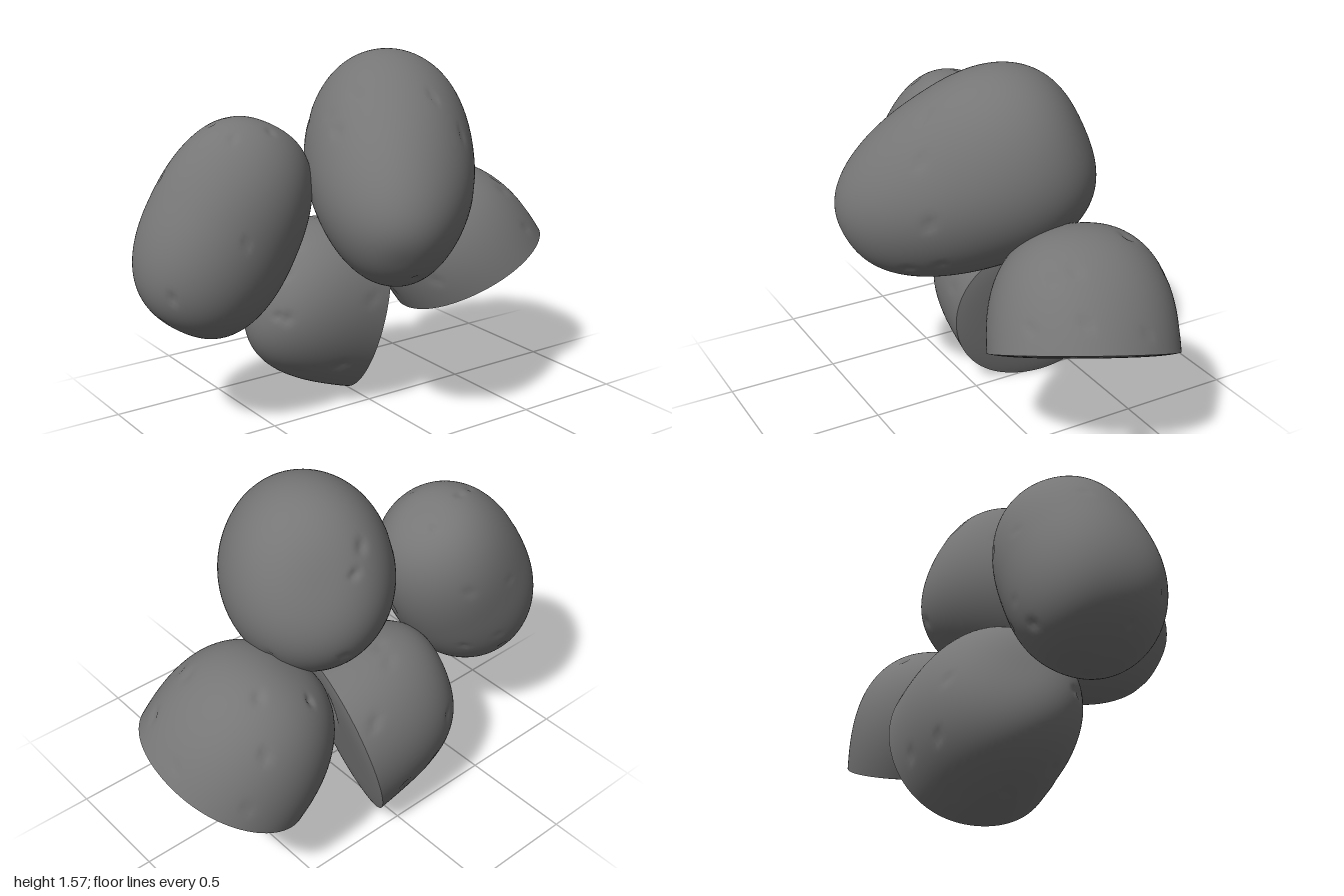
import * as THREE from 'three';
import { mergeVertices } from 'three/addons/utils/BufferGeometryUtils.js';

const skin = new THREE.MeshStandardMaterial({ color: 0x767676 });
skin.name = 'grey skin';

// Small seeded random generator
function seeded(seed) {
  let s = seed;
  return () => (s = (s * 16807) % 2147483647) / 2147483647;
}

// Move every vertex by a rule, then weld the seam for smooth normals
function deform(geometry, rule) {
  geometry.deleteAttribute('uv');
  geometry.deleteAttribute('normal');
  const pos = geometry.attributes.position;
  const p = new THREE.Vector3();
  for (let i = 0; i < pos.count; i++) {
    rule(p.fromBufferAttribute(pos, i));
    pos.setXYZ(i, p.x, p.y, p.z);
  }
  const welded = mergeVertices(geometry, 1e-5);
  welded.computeVertexNormals();
  return welded;
}

// One tuber: local y is the long axis, local z the side nearest the "toward" direction
function makeTuber({ name, center, axis, toward = [0, 0, 1], length, width, depth,
  taper = 0, lean = [0, 0], blunt, half = false, seed }) {
  const rand = seeded(seed);
  const group = new THREE.Group();
  group.name = name;

  // Scattered shallow eyes in the skin
  const eyes = [];
  while (eyes.length < 16) {
    const y = half ? 0.15 + 0.8 * rand() : 1.9 * rand() - 0.95;
    const a = rand() * Math.PI * 2;
    const r = Math.sqrt(1 - y * y);
    eyes.push({
      dir: new THREE.Vector3(r * Math.cos(a), y, r * Math.sin(a)),
      size: 0.035 + 0.02 * rand(),
      deep: 0.016 + 0.016 * rand(),
    });
  }

  // Blunt ellipsoid with gentle lumps and dents
  const shape = (p) => {
    const d = p.clone().normalize();
    const ring = Math.hypot(d.x, d.z);
    let k = Math.pow(Math.pow(Math.abs(d.y), blunt) + Math.pow(ring, blunt), -1 / blunt);
    k *= 1 + 0.008 * Math.sin(3 * d.x + 4 * d.y + seed) + 0.007 * Math.sin(5 * d.z - 3 * d.y + seed * 2);
    for (const e of eyes) {
      const q = d.distanceToSquared(e.dir) / (e.size * e.size);
      if (q < 8) k -= e.deep * Math.exp(-q);
    }
    const t = 1 + taper * d.y;
    return p.set(d.x * k * width * t + lean[0] * d.y, d.y * k * length, d.z * k * depth * t + lean[1] * d.y);
  };

  const body = new THREE.Mesh(
    deform(new THREE.SphereGeometry(1, 96, half ? 40 : 72, 0, Math.PI * 2, 0, half ? Math.PI / 2 : Math.PI), shape),
    skin
  );
  body.name = half ? 'halfBody' : 'wholeBody';
  group.add(body);

  // Cut face, very slightly domed, with a small gouge
  if (half) {
    const disc = new THREE.RingGeometry(0, 1, 96, 20).rotateX(Math.PI / 2);
    const cut = new THREE.Mesh(
      deform(disc, (p) => {
        const t = Math.hypot(p.x, p.z);
        if (t < 1e-6) return p.set(0, -0.015, 0);
        const gouge = 0.025 * Math.exp(-((p.x - 0.45) ** 2 / 0.03 + p.z ** 2 / 0.004));
        p.y = 0;
        shape(p).multiplyScalar(t);
        p.y = (gouge - 0.015) * (1 - t ** 6);
        return p;
      }),
      skin
    );
    cut.name = 'cutFace';
    group.add(cut);
  }

  // Orient by the long axis
  const up = new THREE.Vector3(...axis).normalize();
  const side = new THREE.Vector3(...toward);
  side.addScaledVector(up, -up.dot(side)).normalize();
  const across = new THREE.Vector3().crossVectors(up, side);
  group.quaternion.setFromRotationMatrix(new THREE.Matrix4().makeBasis(across, up, side));
  group.position.set(...center);
  return group;
}

export function createModel() {
  const model = new THREE.Group();
  model.name = 'potatoes';
  const tubers = [
    { name: 'rightWholePotato', center: [-0.625, 0.88, -0.165], axis: [0.49, 0.87, 0],
      length: 0.465, width: 0.33, depth: 0.31, taper: -0.02, blunt: 2.5, seed: 11 },
    { name: 'largeWholePotato', center: [0.045, 1.075, 0.095], axis: [-0.45, -0.45, 0.77], toward: [0, 1, 0],
      length: 0.555, width: 0.355, depth: 0.405, taper: -0.17, blunt: 2.35, seed: 23 },
    { name: 'lowerHalfPotato', center: [0.1, 0.385, -0.235], axis: [-1, 0.27, -0.28],
      length: 0.54, width: 0.395, depth: 0.355, lean: [0, 0.11], blunt: 2.8, half: true, seed: 37 },
    { name: 'leftHalfPotato', center: [0.67, 0.49, -0.13], axis: [-0.48, 1, -0.26],
      length: 0.53, width: 0.368, depth: 0.405, lean: [-0.04, 0], blunt: 2.45, half: true, seed: 53 },
  ];
  for (const t of tubers) model.add(makeTuber(t));
  return model;
}
